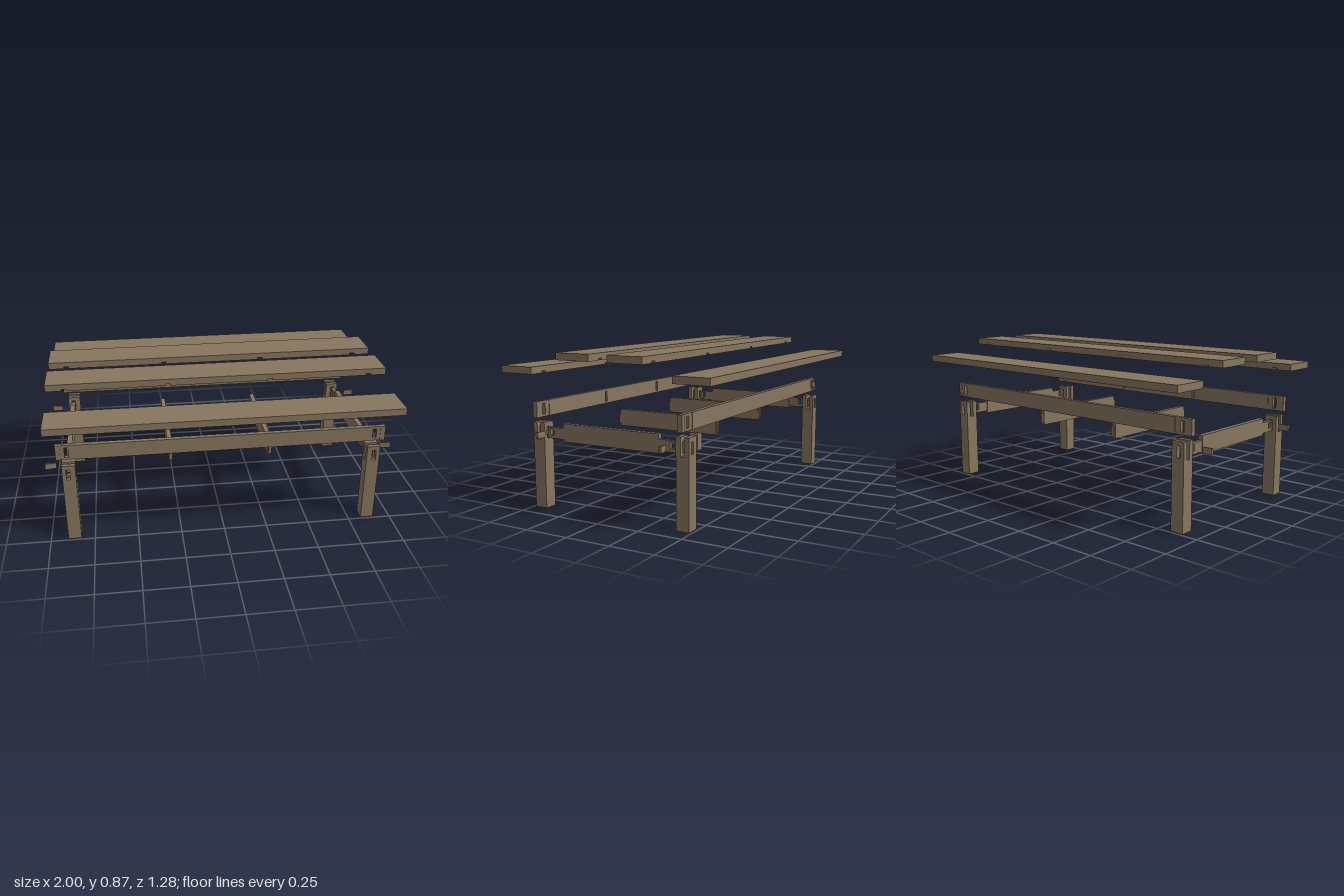
import * as THREE from 'three';

const wood = new THREE.MeshStandardMaterial({ color: 0x87765f });
wood.name = 'brown wood';

// Box given by its min and max on each axis
function box(parent, name, x0, x1, y0, y1, z0, z1) {
  const m = new THREE.Mesh(new THREE.BoxGeometry(x1 - x0, y1 - y0, z1 - z0), wood);
  m.position.set((x0 + x1) / 2, (y0 + y1) / 2, (z0 + z1) / 2);
  m.name = name;
  parent.add(m);
}

function rectPath(P, x0, x1, y0, y1) {
  return new P([[x0, y0], [x1, y0], [x1, y1], [x0, y1]].map(p => new THREE.Vector2(...p)));
}

function extrude(parent, name, shape, depth) {
  const m = new THREE.Mesh(new THREE.ExtrudeGeometry(shape, { depth, bevelEnabled: false }), wood);
  m.name = name;
  parent.add(m);
  return m;
}

// Upright plate between z0 and z1, pierced by rectangular holes [x0, x1, y0, y1]
function plate(parent, name, x0, x1, y0, y1, z0, z1, holes) {
  const s = rectPath(THREE.Shape, x0, x1, y0, y1);
  s.holes = holes.map(h => rectPath(THREE.Path, ...h));
  extrude(parent, name, s, z1 - z0).position.z = z0;
}

const mirrored = (a, b) => [[-b, -a], [a, b]];
const MORTISE = [0.858, 0.88];
const LEG = [0.827, 0.902];
const END_RAIL = [0.853, 0.882];
const MID_RAIL = [0.278, 0.305];

// Leg with a forked top for the apron and a mortise for the end rail
function addLeg(parent, s) {
  const leg = new THREE.Group();
  leg.name = 'leg';
  const [x0, x1] = s > 0 ? LEG : [-LEG[1], -LEG[0]];
  const [m0, m1] = s > 0 ? MORTISE : [-MORTISE[1], -MORTISE[0]];
  box(leg, 'legPost', x0, x1, 0, 0.38, 0.412, 0.487);
  for (const [z0, z1] of [[0.412, 0.439], [0.4615, 0.487]])
    plate(leg, 'legFork', x0, x1, 0.38, 0.478, z0, z1, [[m0, m1, 0.39, 0.453]]);
  parent.add(leg);
}

// Long apron, layered so that it has through mortises, blind mortises and leg dados
function addApron(parent) {
  const apron = new THREE.Group();
  apron.name = 'apron';
  const y0 = 0.505, y1 = 0.593, end = 0.93;
  const through = mirrored(...MORTISE).map(r => [...r, 0.518, 0.578]);
  const blind = mirrored(0.283, 0.3).map(r => [...r, 0.516, 0.58]);
  plate(apron, 'apronInnerCore', -end, end, y0, y1, 0.439, 0.448, [...through, ...blind]);
  plate(apron, 'apronOuterCore', -end, end, y0, y1, 0.448, 0.4605, through);
  for (const [z0, z1, holes] of [[0.436, 0.439, blind], [0.4605, 0.4635, []]]) {
    plate(apron, 'apronFace', -LEG[0], LEG[0], y0, y1, z0, z1, holes);
    for (const [a, b] of mirrored(LEG[1], end)) box(apron, 'apronEnd', a, b, y0, y1, z0, z1);
  }
  parent.add(apron);
}

// Inner top board with grooves running right across the underside
function addInnerBoard(parent) {
  const y0 = 0.828, y1 = 0.867, g = y0 + 0.011;
  const pts = [[0.97, y1], [-0.97, y1], [-0.97, y0]];
  const grooves = [...mirrored(...END_RAIL), ...mirrored(...MID_RAIL)].sort((a, b) => a[0] - b[0]);
  for (const [a, b] of grooves) pts.push([a, y0], [a, g], [b, g], [b, y0]);
  pts.push([0.97, y0]);
  const s = new THREE.Shape(pts.map(p => new THREE.Vector2(...p)));
  extrude(parent, 'innerTopBoard', s, 0.207).position.z = 0.058;
}

// Outer top board with stopped grooves and leg pockets in the underside
function addOuterBoard(parent) {
  const board = new THREE.Group();
  board.name = 'outerTopBoard';
  const z0 = 0.432, z1 = 0.638, y0 = 0.745, y1 = 0.784, g = y0 + 0.011;
  const half = [
    [MID_RAIL[0], z0], [MID_RAIL[0], 0.547], [MID_RAIL[1], 0.547], [MID_RAIL[1], z0],
    [END_RAIL[0], z0], [END_RAIL[0], 0.522], [LEG[0], 0.522], [LEG[0], 0.597],
    [LEG[1], 0.597], [LEG[1], 0.522], [END_RAIL[1], 0.522], [END_RAIL[1], z0],
    [0.97, z0], [0.97, z1],
  ];
  const pts = [...half, ...half.map(([x, z]) => [-x, z]).reverse()];
  const under = new THREE.Shape(pts.map(p => new THREE.Vector2(...p)));
  const m = extrude(board, 'groovedUnderside', under, g - y0);
  m.rotation.x = Math.PI / 2;
  m.position.y = g;
  box(board, 'boardTop', -0.97, 0.97, g, y1, z0, z1);
  parent.add(board);
}

// Tapered locking wedge, thick at its outer end
function addWedge(parent, s) {
  const pts = [[0.938, 0.374], [1, 0.375], [1, 0.389], [0.938, 0.378]];
  const shape = new THREE.Shape(pts.map(([x, z]) => new THREE.Vector2(s * x, z)));
  const m = extrude(parent, 'wedge', shape, 0.034);
  m.rotation.x = Math.PI / 2;
  m.position.y = 0.442;
}

// End rail with long tenons, each slotted for a wedge
function addEndRail(parent, s) {
  const rail = new THREE.Group();
  rail.name = 'endRail';
  const [x0, x1] = s > 0 ? END_RAIL : [-END_RAIL[1], -END_RAIL[0]];
  box(rail, 'endRailBody', x0, x1, 0.379, 0.478, -0.3, 0.3);
  for (const e of [-1, 1]) {
    const span = (a, b) => (e > 0 ? [a, b] : [-b, -a]);
    const shape = rectPath(THREE.Shape, ...span(0.3, 0.404), 0.391, 0.452);
    shape.holes.push(rectPath(THREE.Path, ...span(0.366, 0.39), 0.408, 0.443));
    const t = extrude(rail, 'endRailTenon', shape, MORTISE[1] - MORTISE[0]);
    t.rotation.y = -Math.PI / 2;
    t.position.x = s > 0 ? MORTISE[1] : -MORTISE[0];
  }
  parent.add(rail);
}

// Middle rail with short stub tenons
function addMiddleRail(parent, s) {
  const rail = new THREE.Group();
  rail.name = 'middleRail';
  const [x0, x1] = s > 0 ? MID_RAIL : [-MID_RAIL[1], -MID_RAIL[0]];
  box(rail, 'middleRailBody', x0, x1, 0.379, 0.478, -0.323, 0.323);
  for (const [a, b] of mirrored(0.323, 0.335))
    box(rail, 'middleRailTenon', x0 + 0.005, x1 - 0.005, 0.391, 0.453, a, b);
  parent.add(rail);
}

export function createModel() {
  const table = new THREE.Group();
  table.name = 'explodedTable';
  // Front half, then the same turned half round for the back
  for (const [name, turn] of [['frontHalf', 0], ['backHalf', Math.PI]]) {
    const half = new THREE.Group();
    half.name = name;
    half.rotation.y = turn;
    addApron(half);
    addInnerBoard(half);
    addOuterBoard(half);
    for (const s of [-1, 1]) {
      addLeg(half, s);
      addWedge(half, s);
    }
    table.add(half);
  }
  for (const s of [-1, 1]) {
    addEndRail(table, s);
    addMiddleRail(table, s);
  }
  return table;
}
